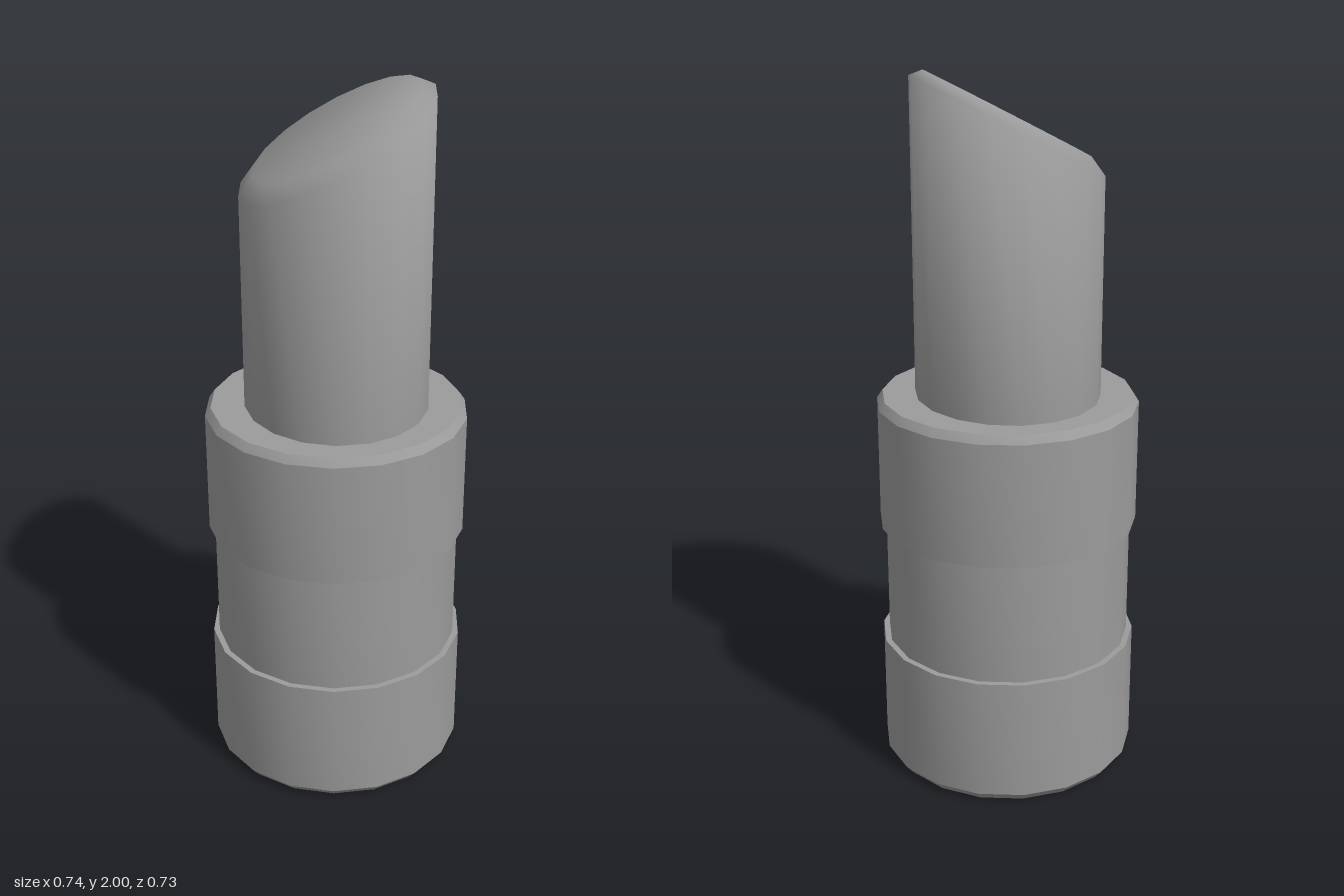
import * as THREE from 'three';
import { toCreasedNormals } from 'three/addons/utils/BufferGeometryUtils.js';

const SIDES = 18;
const material = new THREE.MeshStandardMaterial({ color: 0x9b9b9b });

// Lathe with a corner on the +x axis
function turn(profile) {
  const points = profile.map(([r, y]) => new THREE.Vector2(r, y));
  return new THREE.LatheGeometry(points, SIDES, Math.PI / 2);
}

function addPart(group, name, geometry, crease) {
  const mesh = new THREE.Mesh(toCreasedNormals(geometry, crease), material);
  mesh.name = name;
  group.add(mesh);
}

// Elliptical stick with a softly bevelled top, sheared into a slant
function slantedStick() {
  const geometry = turn([[1, 1.1], [1, 1.85], [0.855, 1.883], [0, 1.883]]);
  geometry.scale(0.258, 1, 0.285);
  const p = geometry.attributes.position;
  for (let i = 0; i < p.count; i++) {
    if (p.getY(i) > 1.5) p.setY(i, p.getY(i) + 0.533 * p.getX(i));
  }
  return geometry;
}

export function createModel() {
  const group = new THREE.Group();
  group.name = 'lipstick';

  // Tube: chamfered base, recessed grip, chamfered collar
  addPart(group, 'base', turn([[0, 0], [0.346, 0], [0.369, 0.027], [0.369, 0.38], [0, 0.38]]), 0.5);
  addPart(group, 'grip', turn([[0.352, 0.38], [0.352, 0.735]]), 0.5);
  addPart(group, 'collar', turn([[0, 0.735], [0.369, 0.735], [0.369, 1.087], [0.353, 1.11], [0, 1.11]]), 0.5);

  // Smooth all the way over the slanted rim
  addPart(group, 'stick', slantedStick(), 1.35);
  return group;
}
